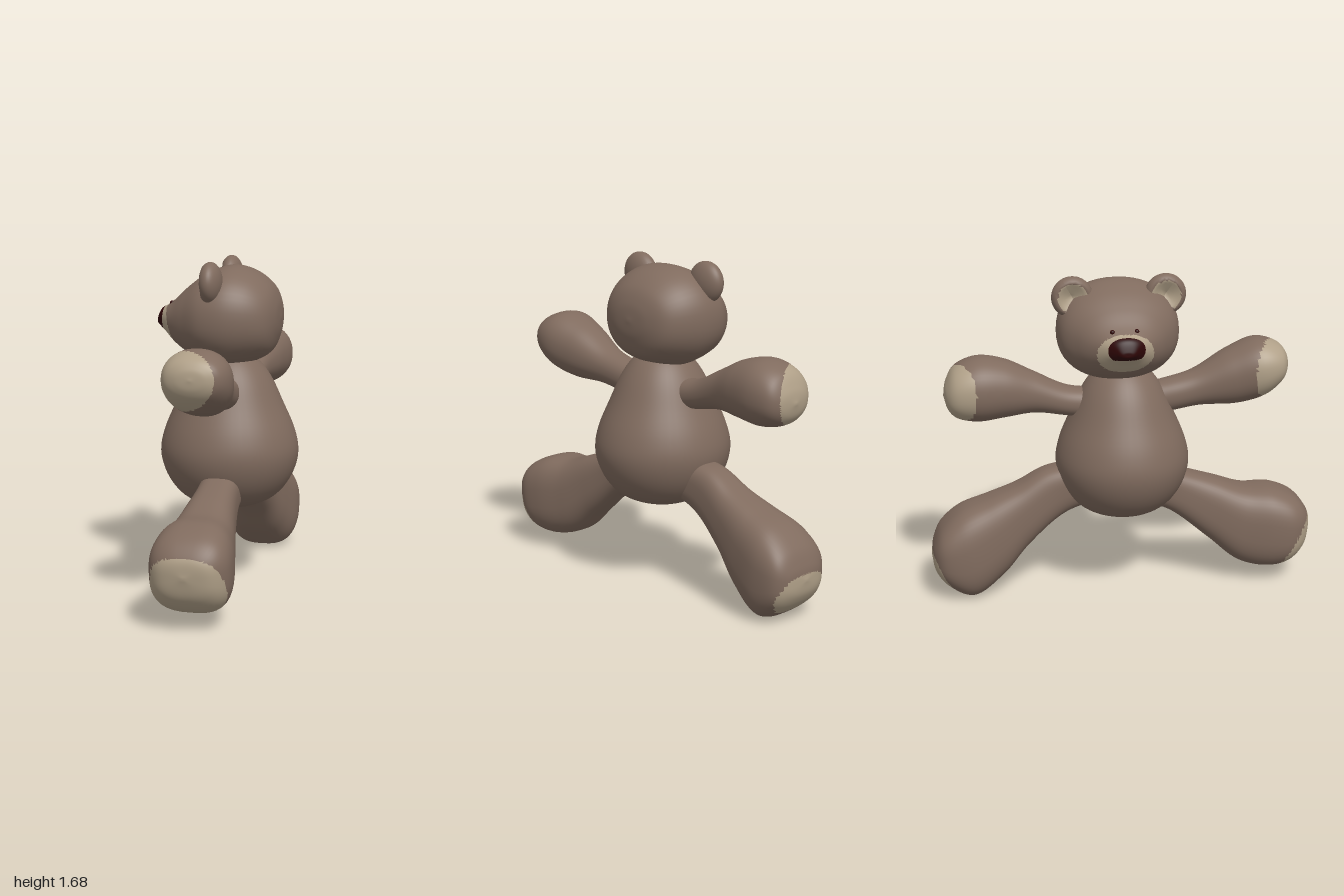
import * as THREE from 'three';
import { mergeVertices } from 'three/addons/utils/BufferGeometryUtils.js';

const material = (name, color, side = THREE.FrontSide) => {
  const m = new THREE.MeshStandardMaterial({ color, side });
  m.name = name;
  return m;
};

// Skin through rounded sections [topA, topY, bottomA, bottomY, halfWidth];
// place(a, y, w) maps axis, height and width to a point
function loft(sections, place, power = 2.2, steps = 56, sides = 48) {
  const curve = (a, y) => new THREE.CatmullRomCurve3(
    sections.map((s) => new THREE.Vector3(s[a], s[y], s[4])), false, 'centripetal');
  const top = curve(0, 1), bottom = curve(2, 3);
  const positions = [], index = [];
  const round = (v) => Math.sign(v) * Math.abs(v) ** (2 / power);
  for (let i = 0; i <= steps; i++) {
    const t = top.getPoint(i / steps), b = bottom.getPoint(i / steps);
    for (let j = 0; j < sides; j++) {
      const angle = (j / sides) * Math.PI * 2;
      const c = round(Math.cos(angle)), s = round(Math.sin(angle));
      positions.push(...place(
        (t.x + b.x) / 2 + c * (t.x - b.x) / 2,
        (t.y + b.y) / 2 + c * (t.y - b.y) / 2,
        Math.max(0, t.z) * s));
      if (i === steps) continue;
      const p = i * sides + j, q = i * sides + (j + 1) % sides;
      index.push(p, p + sides, q, q, p + sides, q + sides);
    }
  }
  let g = new THREE.BufferGeometry();
  g.setAttribute('position', new THREE.Float32BufferAttribute(positions, 3));
  g.setIndex(index);
  g = mergeVertices(g, 1e-5);
  g.computeVertexNormals();
  return g;
}

// Sort faces into material groups by a rule on the face centre
function paint(g, rule) {
  const p = g.attributes.position, old = g.index.array, bins = [[], [], []];
  for (let i = 0; i < old.length; i += 3) {
    const f = [old[i], old[i + 1], old[i + 2]];
    const mean = (get) => (get(f[0]) + get(f[1]) + get(f[2])) / 3;
    bins[rule(mean((k) => p.getX(k)), mean((k) => p.getY(k)), mean((k) => p.getZ(k)))].push(...f);
  }
  g.setIndex(bins.flat());
  let start = 0;
  bins.forEach((bin, k) => {
    if (bin.length) g.addGroup(start, bin.length, k);
    start += bin.length;
  });
  return g;
}

export function createModel() {
  const bear = new THREE.Group();
  bear.name = 'teddyBear';
  const fur = material('brownFur', 0x806b5e);
  const pad = material('tanPad', 0xb0a088);
  const dark = material('darkNose', 0x2e0606);
  const add = (name, geometry, mat) => {
    const mesh = new THREE.Mesh(geometry, mat);
    mesh.name = name;
    bear.add(mesh);
    return mesh;
  };

  // Pear-shaped body
  const profile = new THREE.SplineCurve([
    [0, 0.415], [0.12, 0.425], [0.24, 0.48], [0.32, 0.58], [0.355, 0.7], [0.335, 0.82],
    [0.275, 0.96], [0.22, 1.08], [0.165, 1.16], [0.1, 1.22],
  ].map(([r, y]) => new THREE.Vector2(r, y))).getPoints(40);
  profile[0].x = 0;
  const body = add('body', new THREE.LatheGeometry(profile, 48), fur);
  body.position.x = 0.01;
  body.scale.z = 0.97;

  // Head tapering to a muzzle, facing -x
  const head = loft([
    [0.275, 1.4, 0.275, 1.4, 0], [0.262, 1.49, 0.262, 1.31, 0.12],
    [0.22, 1.57, 0.22, 1.22, 0.215], [0.13, 1.635, 0.13, 1.17, 0.28],
    [0.02, 1.66, 0.02, 1.145, 0.31], [-0.1, 1.62, -0.1, 1.17, 0.295],
    [-0.2, 1.55, -0.2, 1.21, 0.225], [-0.27, 1.485, -0.27, 1.26, 0.16],
    [-0.315, 1.452, -0.315, 1.305, 0.11], [-0.35, 1.43, -0.35, 1.335, 0.065],
    [-0.37, 1.385, -0.37, 1.355, 0.03], [-0.372, 1.37, -0.372, 1.37, 0],
  ], (a, y, w) => [a, y, w - 0.025], 2.2, 80);
  paint(head, (x, y) => {
    if (x < -0.328 && y > 1.335) return 2;
    return x < -0.29 - 0.24 * (y - 1.37) ? 1 : 0;
  });
  add('head', head, [fur, pad, dark]);

  for (const side of [1, -1]) {
    const label = side > 0 ? 'Left' : 'Right';

    // Bead eyes
    const eye = add('eye' + label, new THREE.SphereGeometry(0.012, 16, 12), dark);
    eye.position.set(-0.285, 1.463, -0.03 + side * 0.06);

    // Ears, dished on the front with a tan lining
    const ear = new THREE.SphereGeometry(1, 32, 24);
    const p = ear.attributes.position;
    for (let i = 0; i < p.count; i++) {
      const x = p.getX(i);
      const rim = Math.hypot(p.getY(i), p.getZ(i));
      if (x < 0) p.setX(i, rim > 0.75 ? x : -0.66 + (0.75 - rim) * 0.9);
    }
    ear.computeVertexNormals();
    paint(ear, (x, y, z) => (x < 0.1 && Math.hypot(y, z) < 0.7 ? 1 : 0));
    const earMesh = add('ear' + label, ear, [fur, pad]);
    earMesh.scale.set(0.06, 0.105, 0.105);
    earMesh.position.set(-0.04, 1.585, -0.022 + side * 0.235);
    earMesh.rotation.x = side * 0.5;
  }

  // Limbs reach out along z; width is mirrored with the side
  const limb = (name, side, power, sections, isPad) => {
    const g = loft(sections, (a, y, w) => [0.02 + side * w, y, side * a], power);
    add(name, paint(g, (x, y, z) => (isPad(x, y, Math.abs(z)) ? 1 : 0)), [fur, pad]);
  };

  limb('armLeft', 1, 2.2, [
    [0.1, 1.1, 0.1, 0.93, 0.08], [0.23, 1.125, 0.25, 0.955, 0.09],
    [0.37, 1.165, 0.4, 0.98, 0.1], [0.55, 1.27, 0.6, 0.985, 0.145],
    [0.7, 1.325, 0.74, 1.025, 0.17], [0.81, 1.295, 0.82, 1.09, 0.14],
    [0.85, 1.25, 0.852, 1.14, 0.08], [0.862, 1.195, 0.862, 1.195, 0],
  ], (x, y, z) => z > 0.76 + 0.6 * x);

  limb('armRight', -1, 2.2, [
    [0.1, 1.09, 0.1, 0.93, 0.08], [0.28, 1.11, 0.28, 0.955, 0.09],
    [0.45, 1.19, 0.45, 0.98, 0.11], [0.6, 1.26, 0.6, 0.965, 0.15],
    [0.74, 1.28, 0.74, 0.95, 0.17], [0.85, 1.235, 0.84, 0.97, 0.15],
    [0.895, 1.16, 0.885, 1.01, 0.1], [0.91, 1.085, 0.91, 1.085, 0],
  ], (x, y, z) => z > 0.83 + 0.54 * x);

  limb('legLeft', 1, 2.8, [
    [0.2, 0.66, 0.1, 0.47, 0.11], [0.37, 0.61, 0.25, 0.41, 0.105],
    [0.5, 0.57, 0.45, 0.25, 0.13], [0.65, 0.52, 0.62, 0.11, 0.165],
    [0.8, 0.51, 0.78, 0.075, 0.195], [0.92, 0.46, 0.88, 0.1, 0.19],
    [0.985, 0.385, 0.96, 0.175, 0.13], [0.998, 0.29, 0.998, 0.29, 0],
  ], (x, y, z) => z > 0.87 + 0.57 * (y - 0.18));

  limb('legRight', -1, 2.8, [
    [0.2, 0.7, 0.1, 0.5, 0.11], [0.4, 0.67, 0.3, 0.43, 0.105],
    [0.55, 0.59, 0.49, 0.27, 0.13], [0.7, 0.53, 0.63, 0.11, 0.165],
    [0.85, 0.47, 0.79, 0.005, 0.195], [0.945, 0.385, 0.92, 0.07, 0.18],
    [0.985, 0.305, 0.98, 0.145, 0.12], [1.0, 0.23, 1.0, 0.23, 0],
  ], (x, y, z) => z > 0.88 + 0.5 * (y - 0.03));

  return bear;
}
